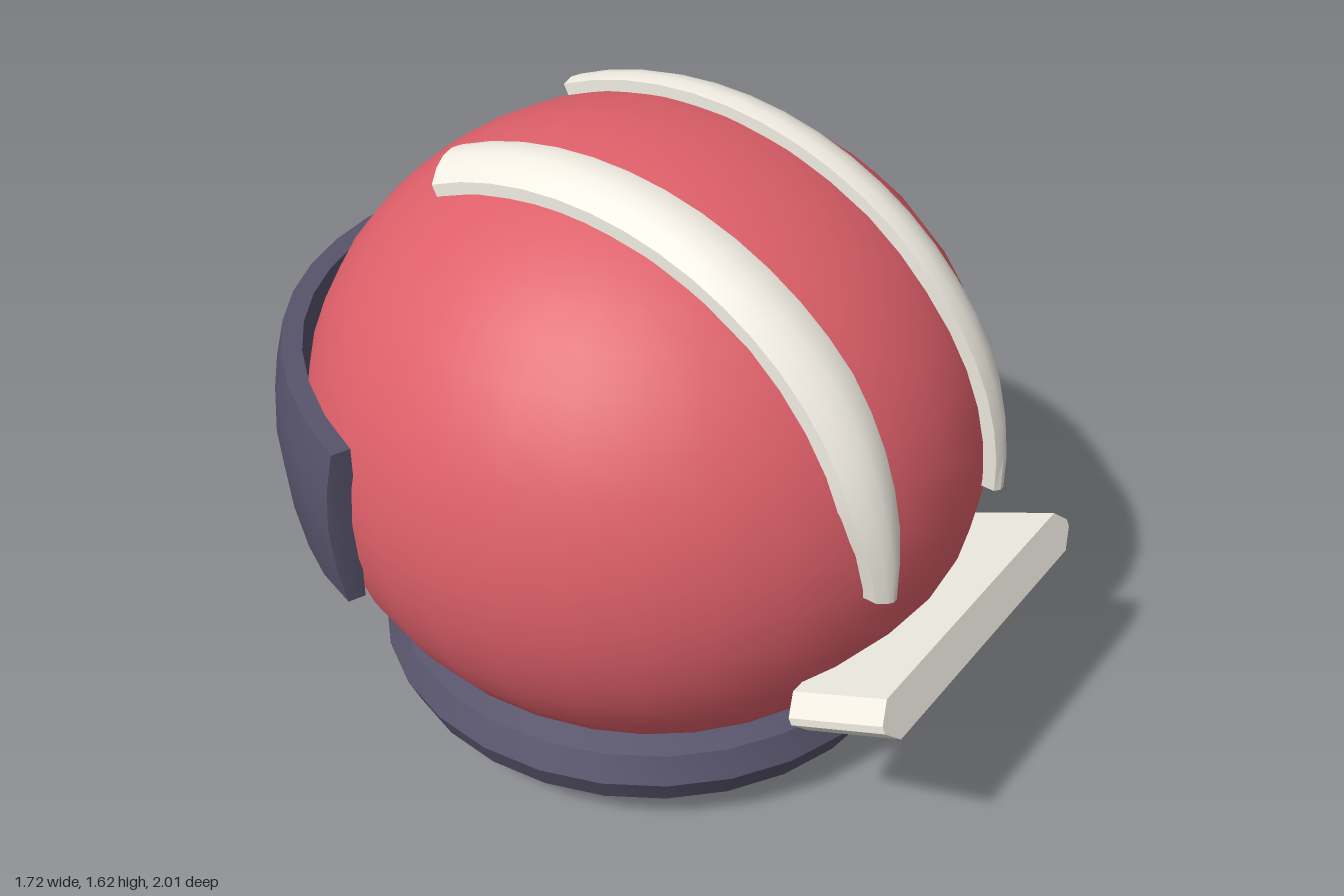
import * as THREE from 'three';
import { toCreasedNormals } from 'three/addons/utils/BufferGeometryUtils.js';

const RED = 0xdd5f69, NAVY = 0x57536b, CREAM = 0xf0ece2;
// Shell ellipsoid
const C = new THREE.Vector3(0, 0.81, -0.015);
const R = new THREE.Vector3(0.857, 0.805, 0.885);

function part(name, geometry, color) {
  const mesh = new THREE.Mesh(geometry, new THREE.MeshStandardMaterial({ color }));
  mesh.name = name;
  return mesh;
}

// Skin a row of closed cross-sections and cap both ends
function loft(rings, crease) {
  const pos = [];
  const tri = (...pts) => pts.forEach(p => pos.push(p.x, p.y, p.z));
  const n = rings[0].length;
  for (let i = 0; i < rings.length - 1; i++) {
    for (let j = 0; j < n; j++) {
      const k = (j + 1) % n;
      const a = rings[i][j], b = rings[i][k], c = rings[i + 1][k], d = rings[i + 1][j];
      tri(a, b, c);
      tri(a, c, d);
    }
  }
  const first = rings[0], last = rings[rings.length - 1];
  for (let k = 1; k < n - 1; k++) {
    tri(first[0], first[k + 1], first[k]);
    tri(last[0], last[k], last[k + 1]);
  }
  const g = new THREE.BufferGeometry();
  g.setAttribute('position', new THREE.Float32BufferAttribute(pos, 3));
  return toCreasedNormals(g, crease);
}

// Visor: bulging band wrapped around the -z side
function visorGeometry() {
  const A = 1.234, N = 16, rings = [];
  for (let i = 0; i <= N; i++) {
    const a = -A + (2 * A * i) / N;
    const end = Math.max(0, (Math.abs(a) - 0.85) / (A - 0.85));
    const lo = 0.545 + 0.04 * end, hi = 1.06 - 0.03 * end;
    // [x radius, z radius, height fraction]
    const section = [
      [0.885, 0.95, 0], [0.902, 0.985, 0.25], [0.911, 1.0, 0.52], [0.904, 0.988, 0.78],
      [0.888, 0.955, 1], [0.84, 0.897, 1], [0.84, 0.897, 0],
    ];
    rings.push(section.map(([rx, rz, f]) =>
      new THREE.Vector3(rx * Math.sin(a), THREE.MathUtils.lerp(lo, hi, f), -rz * Math.cos(a))));
  }
  return loft(rings, 0.6);
}

// Raised stripe running over the crown and tapering toward the front
function stripeGeometry(side) {
  const N = 18, rings = [];
  for (let i = 0; i <= N; i++) {
    const deg = -27 + (119 * i) / N, t = THREE.MathUtils.degToRad(deg);
    let lo = 0.2 + 0.04 * THREE.MathUtils.clamp((deg - 53) / 39, 0, 1);
    let hi = 0.342 - 0.045 * THREE.MathUtils.clamp((deg - 74) / 18, 0, 1);
    if (side < 0) [lo, hi] = [-hi, -lo];
    // [across, lift above the shell]
    const section = [[0, -0.03], [1, -0.03], [1, 0.03], [0.75, 0.045], [0.5, 0.05], [0.25, 0.045], [0, 0.03]];
    rings.push(section.map(([u, h]) => {
      const x = THREE.MathUtils.lerp(lo, hi, u), f = Math.sqrt(1 - (x / R.x) ** 2);
      return new THREE.Vector3(x, C.y + (R.y * f + h) * Math.cos(t), C.z + (R.z * f + h) * Math.sin(t));
    }));
  }
  return loft(rings, 0.6);
}

// Bar with chamfered long edges, extruded along z
function barGeometry(w, h, c, depth) {
  const s = new THREE.Shape();
  [[-w + c, -h], [w - c, -h], [w, -h + c], [w, h - c], [w - c, h], [-w + c, h], [-w, h - c], [-w, -h + c]]
    .forEach(([x, y], i) => (i ? s.lineTo(x, y) : s.moveTo(x, y)));
  s.closePath();
  return new THREE.ExtrudeGeometry(s, { depth, bevelEnabled: false }).translate(0, 0, -depth / 2);
}

export function createModel() {
  const model = new THREE.Group();
  model.name = 'helmet';

  const shell = part('shell', new THREE.SphereGeometry(1, 32, 24), RED);
  shell.scale.copy(R);
  shell.position.copy(C);
  model.add(shell);

  // Neck ring
  const profile = [
    [0.54, 0.19], [0.56, 0.12], [0.62, 0.083], [0.695, 0.11], [0.727, 0.185],
    [0.695, 0.255], [0.62, 0.277], [0.56, 0.255], [0.54, 0.19],
  ].map(([x, y]) => new THREE.Vector2(x, y));
  model.add(part('neckRing', toCreasedNormals(new THREE.LatheGeometry(profile, 28), 0.4), NAVY));

  model.add(part('visor', visorGeometry(), NAVY));

  // Small glint set on the visor
  const glint = part('visorGlint',
    new THREE.CylinderGeometry(1, 1, 1, 6).rotateY(Math.PI / 2).rotateX(Math.PI / 2), CREAM);
  glint.scale.set(0.12, 0.045, 0.05);
  glint.position.set(-0.245, 0.92, -0.95);
  glint.lookAt(-0.245 - 0.28, 0.92 + 0.1, -0.95 - 0.95);
  model.add(glint);

  for (const side of [1, -1]) {
    model.add(part(side > 0 ? 'leftStripe' : 'rightStripe', stripeGeometry(side), CREAM));
  }

  // Chin guard, tipped up toward the front
  const chin = part('chinGuard', barGeometry(0.465, 0.055, 0.045, 0.27), CREAM);
  chin.position.set(0, 0.535, 0.855);
  chin.rotation.x = -0.42;
  model.add(chin);

  return model;
}
